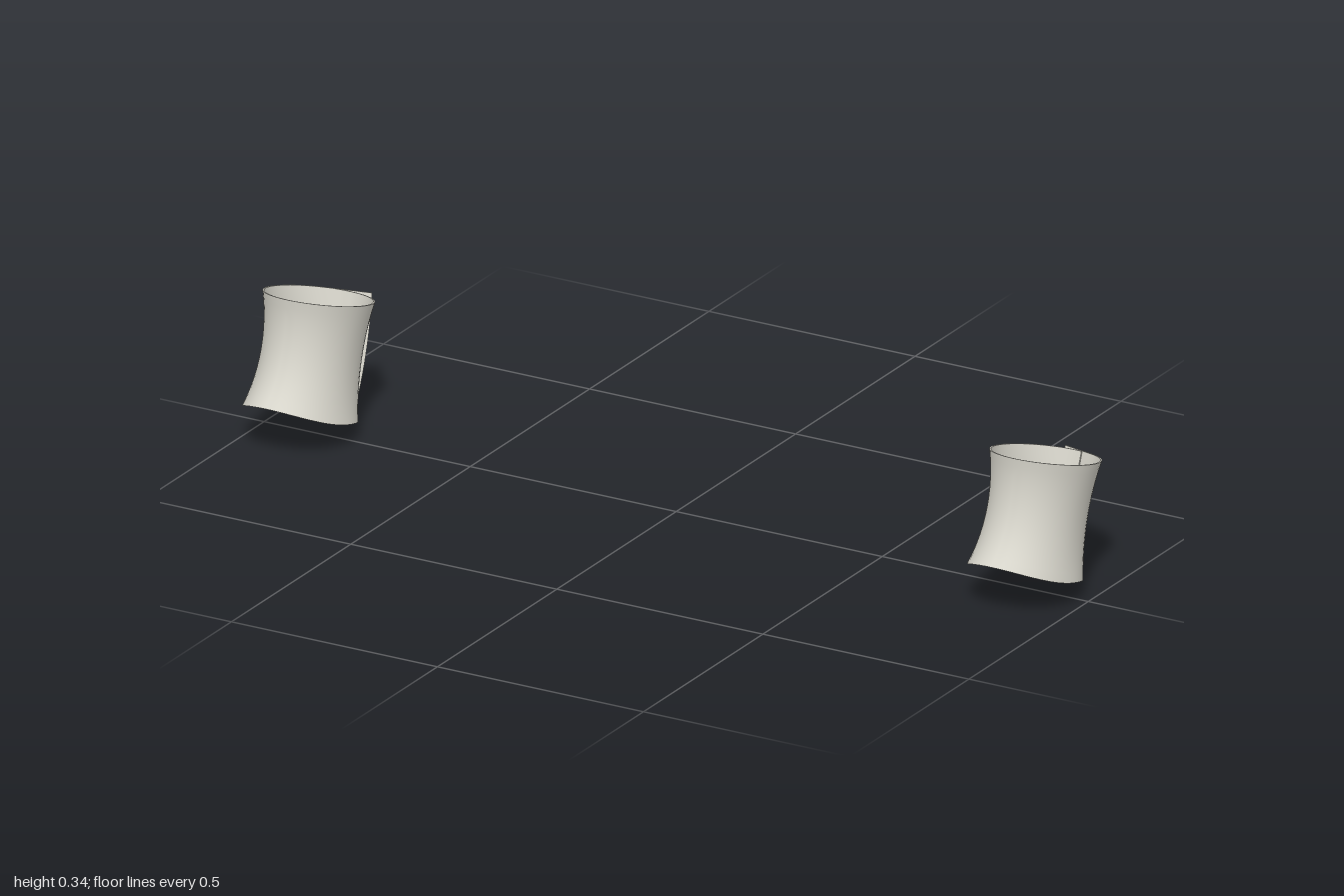
import * as THREE from 'three';
import { toCreasedNormals } from 'three/addons/utils/BufferGeometryUtils.js';

const fabric = new THREE.MeshStandardMaterial({ color: 0xd6d4ca, side: THREE.DoubleSide });
fabric.name = 'pale cloth';
const horn = new THREE.MeshStandardMaterial({ color: 0xcdcbc1 });
horn.name = 'button grey';
const dark = new THREE.MeshStandardMaterial({ color: 0x66645e });
dark.name = 'dark thread';

const HEIGHT = 0.262, MID = 0.17, BACK = 0.14, THICK = 0.0035;
const ARC = 56, FLAP = 5, ROWS = 12, FLAP_RUN = 0.083;

// Point on the outer cloth: u = step along the wrap, v = 0 hem to 1 top
function clothPoint(u, v, seam, leave, lean) {
  const t = THREE.MathUtils.lerp(seam, leave - 2 * Math.PI, Math.min(u, ARC) / ARC);
  const k = Math.max(0, u - ARC) / FLAP;
  const halfWidth = 0.099 + 0.06 * (v - 0.52) ** 2;
  const front = 0.284 + 0.043 * (1 - v) ** 4 + 0.023 * v ** 4;
  const c = Math.cos(t);
  const depth = c > 0 ? BACK : front - MID;
  const hem = (0.0285 * Math.max(0, -c) ** 2 + 0.007 * Math.sin(t) ** 2) * (1 - k);
  const slope = 1.27 * Math.tan(leave);
  return new THREE.Vector3(
    halfWidth * Math.sin(t) - FLAP_RUN * k + lean * (1 - v),
    THREE.MathUtils.lerp(hem, HEIGHT, v),
    MID - depth * c - FLAP_RUN * slope * k);
}

// Wrapped band of cloth with thickness, ending in a straight overlapping flap
function clothGeometry(side, seam, leave, lean) {
  const pos = [], idx = [], ring = 2 * (ROWS + 1), last = ARC + FLAP;
  for (let i = 0; i <= last; i++) {
    const outer = [], inner = [];
    for (let j = 0; j <= ROWS; j++) {
      const v = j / ROWS;
      const p = clothPoint(i, v, seam, leave, lean);
      const a = clothPoint(Math.max(0, i - 1), v, seam, leave, lean);
      const b = clothPoint(Math.min(last, i + 1), v, seam, leave, lean);
      const n = new THREE.Vector3(a.z - b.z, 0, b.x - a.x).normalize();
      outer.push(p);
      inner.unshift(p.clone().addScaledVector(n, -THICK));
    }
    for (const p of [...outer, ...inner]) pos.push(p.x * side, p.y, p.z);
  }
  const quad = (a, b, c, d) => side > 0
    ? idx.push(a, b, c, a, c, d) : idx.push(a, c, b, a, d, c);
  for (let i = 0; i < last; i++) {
    for (let j = 0; j < ring; j++) {
      const k = (j + 1) % ring, r = i * ring;
      quad(r + j, r + ring + j, r + ring + k, r + k);
    }
  }
  // end edges of the strip
  const e = last * ring;
  for (let j = 0; j < ROWS; j++) {
    const m = ring - 1 - j;
    quad(j, j + 1, m - 1, m);
    quad(e + j, e + m, e + m - 1, e + j + 1);
  }
  const g = new THREE.BufferGeometry();
  g.setAttribute('position', new THREE.Float32BufferAttribute(pos, 3));
  g.setIndex(idx);
  return toCreasedNormals(g, 0.8);
}

// Round button with raised rim and sewing holes, facing +y
function makeButton() {
  const button = new THREE.Group();
  button.name = 'button';
  const profile = [[0.019, 0], [0.022, 0.003], [0.022, 0.009], [0.020, 0.011],
    [0.016, 0.011], [0.013, 0.007], [0, 0.007]].map(([x, y]) => new THREE.Vector2(x, y));
  const disc = new THREE.Mesh(toCreasedNormals(new THREE.LatheGeometry(profile, 28), 0.6), horn);
  disc.name = 'buttonDisc';
  button.add(disc);
  for (let i = 0; i < 4; i++) {
    const a = (i + 0.5) * Math.PI / 2;
    const hole = new THREE.Mesh(new THREE.CylinderGeometry(0.0025, 0.0025, 0.001, 10), dark);
    hole.name = 'buttonHole';
    hole.position.set(0.0045 * Math.cos(a), 0.0073, 0.0045 * Math.sin(a));
    button.add(hole);
  }
  return button;
}

function makeCuff(name, side, seam, leave, lean) {
  const cuff = new THREE.Group();
  cuff.name = name;
  const cloth = new THREE.Mesh(clothGeometry(side, seam, leave, lean), fabric);
  cloth.name = 'cuffCloth';
  cuff.add(cloth);

  // two buttons on the flap
  const normal = new THREE.Vector3(side * 1.27 * Math.tan(leave), 0, -1).normalize();
  for (const y of [0.067, 0.202]) {
    const button = makeButton();
    const p = clothPoint(ARC + FLAP * 0.62, y / HEIGHT, seam, leave, lean);
    button.position.set(p.x * side, y, p.z);
    button.quaternion.setFromUnitVectors(new THREE.Vector3(0, 1, 0), normal);
    cuff.add(button);
  }
  cuff.position.set(side * 0.882, 0.003, -0.118);
  cuff.rotation.x = -0.272;
  return cuff;
}

export function createModel() {
  const model = new THREE.Group();
  model.name = 'pairOfCuffs';
  model.add(makeCuff('leftCuff', 1, 0.1, 0.35, -0.008));
  model.add(makeCuff('rightCuff', -1, 0.3, 0.5, 0.003));
  return model;
}
